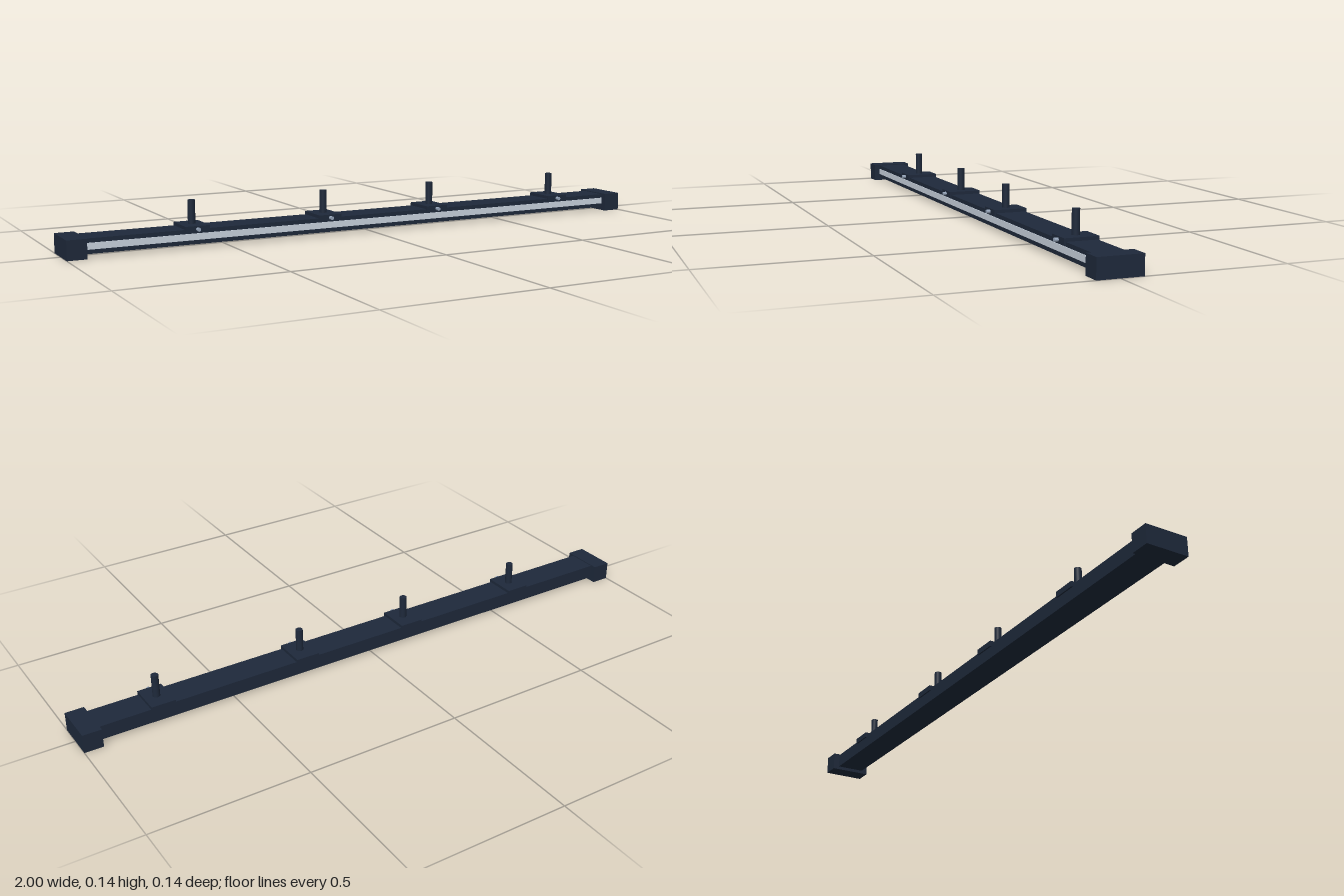
import * as THREE from 'three';

const navy = new THREE.MeshStandardMaterial({ color: 0x1e293b });
navy.name = 'darkNavy';
const silver = new THREE.MeshStandardMaterial({ color: 0xcbd5e1 });
silver.name = 'silver';
const grey = new THREE.MeshStandardMaterial({ color: 0x94a3b8 });
grey.name = 'screwGrey';

function add(parent, name, geometry, material, x, y, z) {
  const mesh = new THREE.Mesh(geometry, material);
  mesh.name = name;
  mesh.position.set(x, y, z);
  parent.add(mesh);
  return mesh;
}

export function createModel() {
  const model = new THREE.Group();
  model.name = 'railWithSliders';

  // Long beam with a pale strip along its front
  add(model, 'beam', new THREE.BoxGeometry(1.9, 0.046, 0.096), navy, 0, 0.034, 0);
  add(model, 'frontStrip', new THREE.BoxGeometry(1.88, 0.02, 0.004), silver, 0, 0.034, 0.0485);

  // End blocks
  for (const side of [-1, 1]) {
    add(model, side > 0 ? 'leftEndBlock' : 'rightEndBlock',
      new THREE.BoxGeometry(0.06, 0.06, 0.138), navy, side * 0.97, 0.03, 0);
  }

  // Sliding carriages, each with an upright post and a front clamp screw
  for (const x of [-0.598, -0.152, 0.244, 0.738]) {
    const carriage = new THREE.Group();
    carriage.name = 'carriage';
    carriage.position.x = x;
    add(carriage, 'carriagePlate', new THREE.BoxGeometry(0.078, 0.018, 0.106), navy, 0, 0.058, 0);
    add(carriage, 'post', new THREE.CylinderGeometry(0.0115, 0.0115, 0.08, 20), navy, 0, 0.1, 0);
    const screw = add(carriage, 'clampScrew',
      new THREE.CylinderGeometry(0.006, 0.006, 0.016, 12), grey, 0, 0.057, 0.057);
    screw.rotation.x = Math.PI / 2;
    model.add(carriage);
  }
  return model;
}
